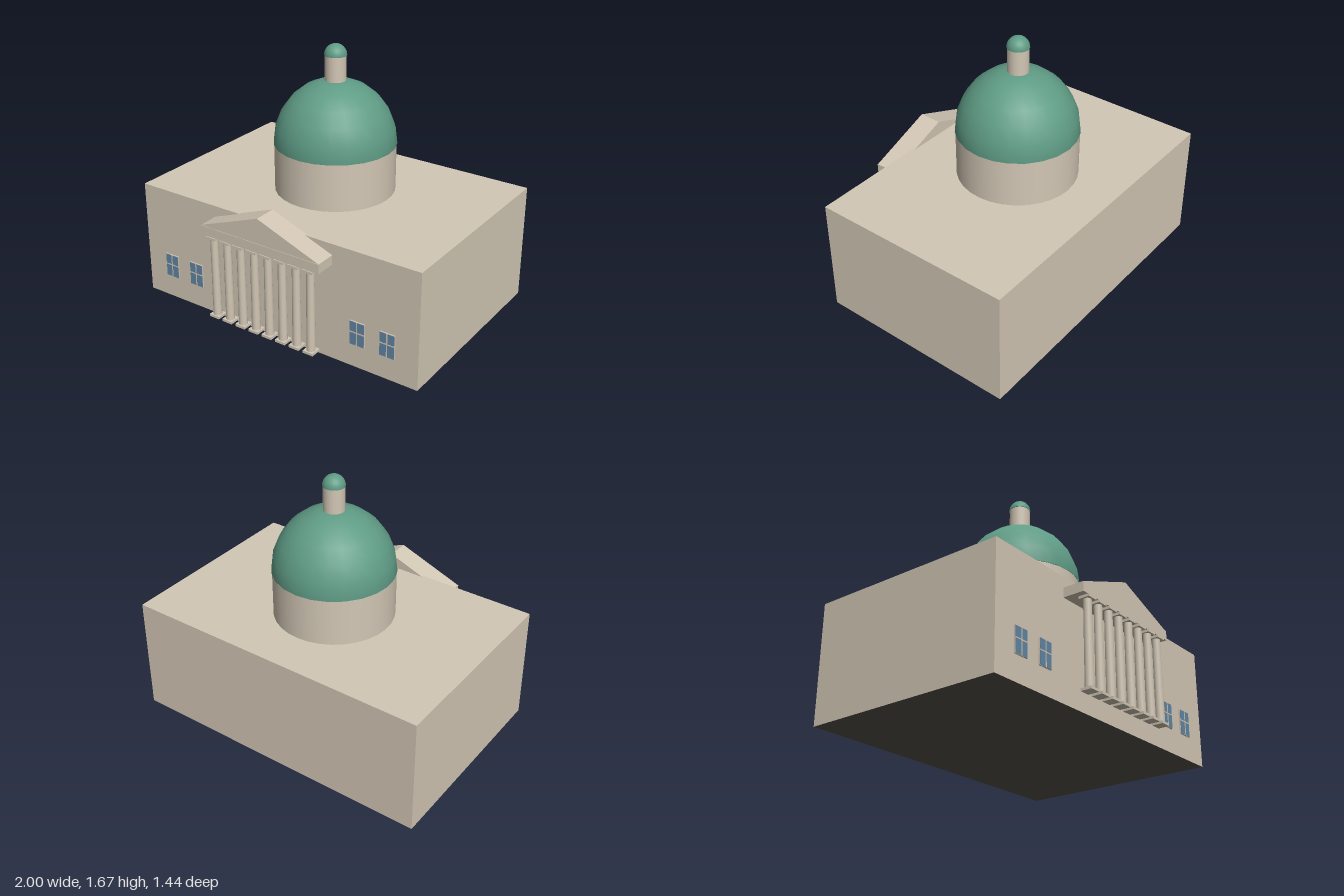
import * as THREE from 'three';

const stone = new THREE.MeshStandardMaterial({ name: 'stone', color: 0xd2c7b5 });
const copper = new THREE.MeshStandardMaterial({ name: 'greenCopper', color: 0x5f9c86, side: THREE.DoubleSide });
const glass = new THREE.MeshStandardMaterial({ name: 'blueGlass', color: 0x6286a4 });
const footing = new THREE.MeshStandardMaterial({ name: 'darkFooting', color: 0x57524b });

function add(parent, name, geometry, material, x = 0, y = 0, z = 0) {
  const mesh = new THREE.Mesh(geometry, material);
  mesh.name = name;
  mesh.position.set(x, y, z);
  parent.add(mesh);
  return mesh;
}

function addGroup(parent, name, x = 0, y = 0, z = 0) {
  const group = new THREE.Group();
  group.name = name;
  group.position.set(x, y, z);
  parent.add(group);
  return group;
}

const box = (w, h, d) => new THREE.BoxGeometry(w, h, d);
const hemisphere = (r, around, rows) =>
  new THREE.SphereGeometry(r, around, rows, 0, Math.PI * 2, 0, Math.PI / 2);

export function createModel() {
  const model = new THREE.Group();
  model.name = 'domedHall';

  // Main block: stone walls and roof, dark underside
  const blockMaterials = [stone, stone, stone, footing, stone, stone];
  add(model, 'mainBlock', box(2, 0.75, 1.3), blockMaterials, 0, 0.375, -0.07);

  // Drum, dome and lantern
  const tower = addGroup(model, 'domeTower', 0, 0, -0.072);
  add(tower, 'drum', new THREE.CylinderGeometry(0.375, 0.375, 0.3, 32), stone, 0, 0.9, 0);
  add(tower, 'dome', hemisphere(0.379, 24, 6), copper, 0, 1.05, 0).scale.y = 0.4 / 0.379;
  add(tower, 'lantern', new THREE.CylinderGeometry(0.065, 0.065, 0.155, 20), stone, 0, 1.5225, 0);
  add(tower, 'lanternCap', hemisphere(0.069, 20, 8), copper, 0, 1.6, 0);

  // Portico: entablature and pediment
  const portico = addGroup(model, 'portico');
  add(portico, 'entablature', box(0.85, 0.06, 0.145), stone, 0, 0.65, 0.6425);
  const gable = new THREE.Shape();
  gable.moveTo(-0.425, 0);
  gable.lineTo(0.425, 0);
  gable.lineTo(0, 0.16);
  gable.closePath();
  const gableGeometry = new THREE.ExtrudeGeometry(gable, { depth: 0.147, bevelEnabled: false });
  add(portico, 'pediment', gableGeometry, stone, 0, 0.68, 0.565);

  // Eight tapered columns
  const shaft = new THREE.CylinderGeometry(0.024, 0.027, 0.52, 16);
  const slab = box(0.07, 0.016, 0.07);
  for (let i = 0; i < 8; i++) {
    const column = addGroup(portico, 'column', -0.35 + i * 0.1, 0, 0.686);
    add(column, 'columnBase', slab, stone, 0, 0.078, 0);
    add(column, 'columnShaft', shaft, stone, 0, 0.345, 0);
    add(column, 'columnCapital', slab, stone, 0, 0.612, 0);
  }

  // Windows: stone surround, glass face and crossed bars
  for (const x of [-0.8, -0.6, 0.6, 0.8]) {
    const win = addGroup(model, 'window', x, 0.228, 0.58);
    add(win, 'windowSurround', box(0.1, 0.155, 0.008), stone, 0, 0, 0.004);
    add(win, 'windowPane', box(0.096, 0.151, 0.002), glass, 0, 0, 0.009);
    add(win, 'windowUpright', box(0.007, 0.155, 0.004), stone, 0, 0, 0.01);
    add(win, 'windowCrossbar', box(0.1, 0.007, 0.004), stone, 0, 0.008, 0.01);
  }

  return model;
}
